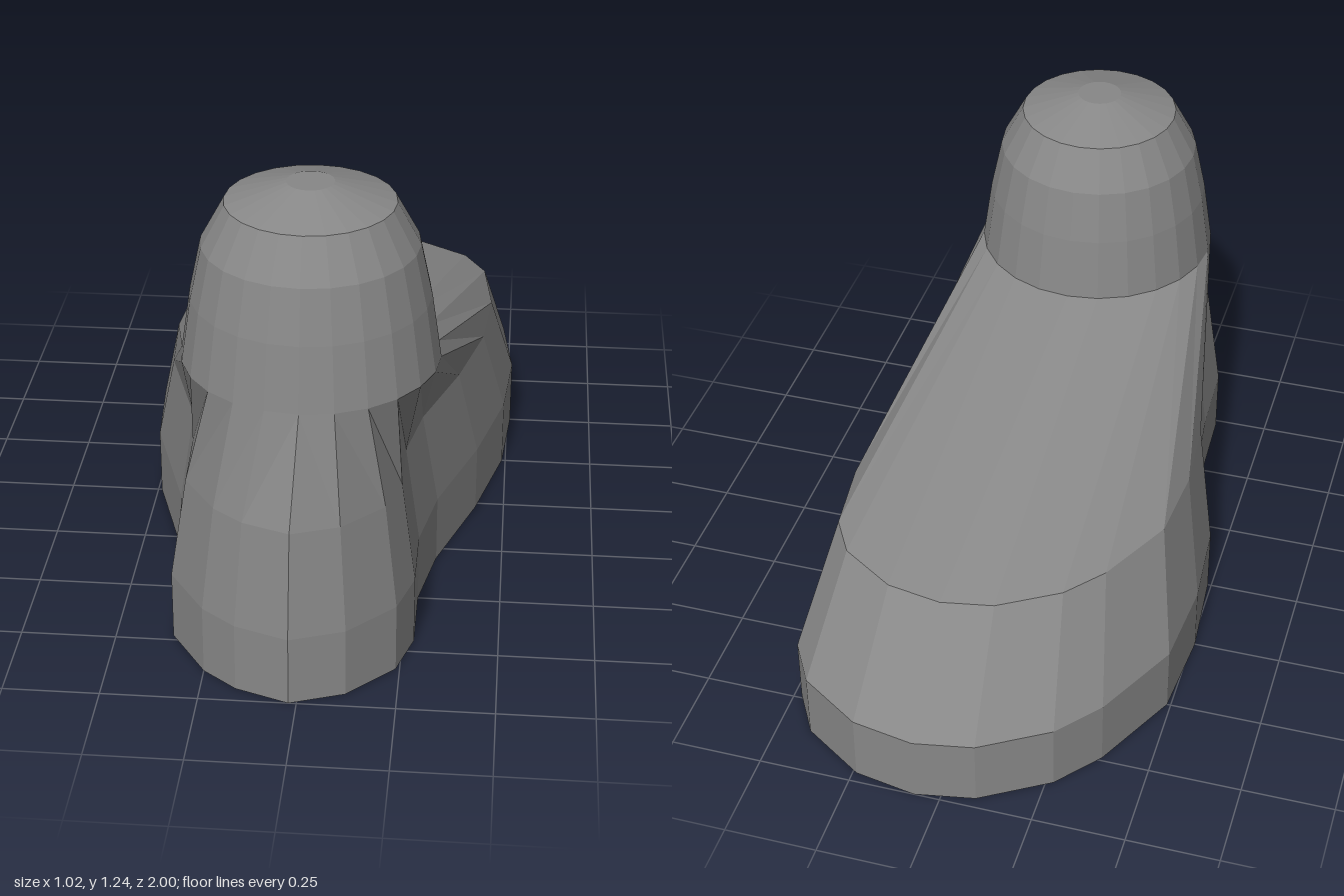
import * as THREE from 'three';

// Sole outline as [x, z], from the toe tip along +x to the heel and back along -x
const OUTLINE = [
  [0.07, -1], [0.24, -0.97], [0.41, -0.86], [0.48, -0.74], [0.51, -0.5], [0.49, -0.25],
  [0.42, 0.02], [0.32, 0.3], [0.28, 0.5], [0.28, 0.7], [0.24, 0.83], [0.12, 0.95],
  [-0.02, 1], [-0.16, 0.95], [-0.25, 0.88], [-0.35, 0.73], [-0.36, 0.5], [-0.38, 0.34],
  [-0.49, 0], [-0.51, -0.25], [-0.49, -0.5], [-0.37, -0.74], [-0.27, -0.86], [-0.09, -0.97],
];
const N = OUTLINE.length;
const ANKLE_Z = 0.56;

// Outline ring at height y, scaled towards the heel
const soleRing = (y, s) => OUTLINE.map(([x, z]) => [x * s, y, s === 1 ? z : 0.97 + (z - 1) * s]);

// Round ankle ring with the same point order as the outline
const ankleRing = (y, r) => OUTLINE.map((_, i) => {
  const a = (i / N) * Math.PI * 2;
  return [r * Math.sin(a), y, ANKLE_Z - r * Math.cos(a)];
});

// Ring collapsed to a point, used to close an end
const point = (x, y, z) => OUTLINE.map(() => [x, y, z]);

// Skin between rings, with diagonals running from the ankle towards the toes
function loft(name, rings, material) {
  const pos = [];
  const tri = (...corners) => corners.forEach((c) => pos.push(...c));
  for (let k = 0; k < rings.length - 1; k++) {
    const a = rings[k], b = rings[k + 1];
    for (let i = 0; i < N; i++) {
      const j = (i + 1) % N;
      if (i < N / 2) {
        tri(a[j], a[i], b[j]);
        tri(a[i], b[i], b[j]);
      } else {
        tri(a[j], a[i], b[i]);
        tri(a[j], b[i], b[j]);
      }
    }
  }
  const geometry = new THREE.BufferGeometry();
  geometry.setAttribute('position', new THREE.Float32BufferAttribute(pos, 3));
  geometry.computeVertexNormals();
  const mesh = new THREE.Mesh(geometry, material);
  mesh.name = name;
  return mesh;
}

export function createModel() {
  const group = new THREE.Group();
  group.name = 'foot';
  const grey = new THREE.MeshStandardMaterial({ color: 0x888888 });
  grey.name = 'grey';
  grey.flatShading = true;

  // Flat underside and upright sole edge
  group.add(loft('sole', [point(0, 0, 0.1), soleRing(0, 1), soleRing(0.19, 1)], grey));
  // Sloping sides of the foot
  group.add(loft('sides', [soleRing(0.19, 1), soleRing(0.48, 0.87)], grey));
  // Instep rising from the toes to the ankle
  group.add(loft('instep', [soleRing(0.48, 0.87), ankleRing(0.77, 0.33)], grey));
  // Tapering ankle with a shallow domed cap
  group.add(loft('ankle', [
    ankleRing(0.77, 0.33), ankleRing(0.94, 0.305), ankleRing(1.08, 0.275), ankleRing(1.19, 0.215),
  ], grey));
  group.add(loft('ankleCap', [
    ankleRing(1.19, 0.215), ankleRing(1.24, 0.06), point(0, 1.24, ANKLE_Z),
  ], grey));
  return group;
}
